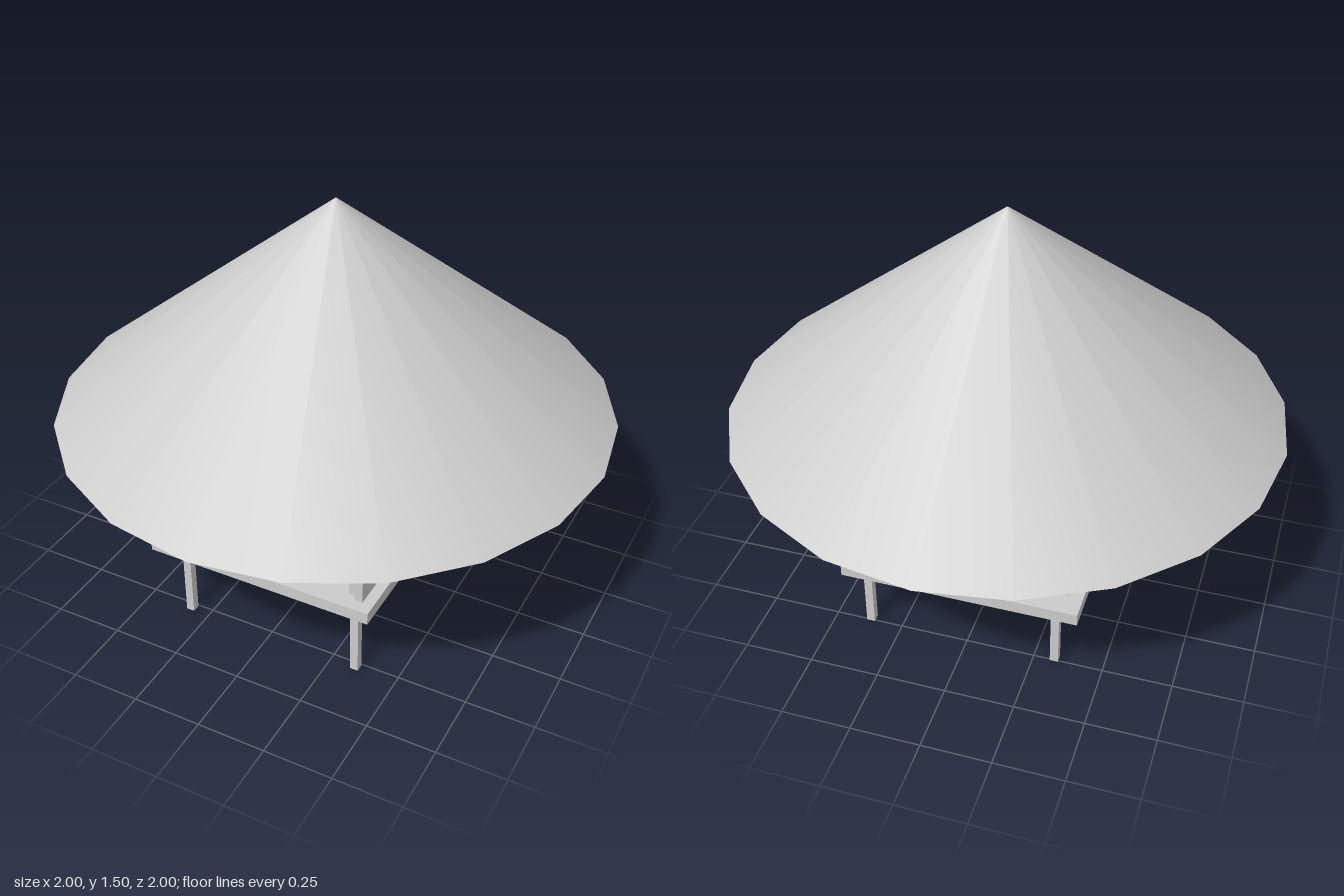
import * as THREE from 'three';

const material = new THREE.MeshStandardMaterial({ color: 0xcccccc });

export function createModel() {
  const hut = new THREE.Group();
  hut.name = 'stiltHut';

  const add = (parent, name, geometry, x, y, z) => {
    const mesh = new THREE.Mesh(geometry, material);
    mesh.name = name;
    mesh.position.set(x, y, z);
    parent.add(mesh);
    return mesh;
  };
  // Box from its centre in x and z, and its bottom and top heights
  const box = (parent, name, x, z, width, depth, bottom, top) =>
    add(parent, name, new THREE.BoxGeometry(width, top - bottom, depth), x, (bottom + top) / 2, z);
  const disc = (parent, name, x, z, radius, bottom, top) =>
    add(parent, name, new THREE.CylinderGeometry(radius, radius, top - bottom, 20), x, (bottom + top) / 2, z);

  const floorBottom = 0.295, floorTop = 0.34, wallTop = 0.61, ceilingTop = 0.68;

  // Conical thatch, closed underneath
  add(hut, 'roof', new THREE.ConeGeometry(1, 0.8, 20), 0, 1.1, 0);

  // Floor and ceiling slabs
  box(hut, 'floor', 0, 0, 0.85, 1.2, floorBottom, floorTop);
  box(hut, 'ceiling', 0, 0, 0.85, 1.2, wallTop, ceilingTop);

  // Stilts below the floor, slightly uneven
  const stilts = [[-0.325, 0.52], [0.345, 0.52], [-0.325, -0.49], [0.37, -0.49]];
  for (const [x, z] of stilts) box(hut, 'stilt', x, z, 0.03, 0.03, 0, floorBottom);

  // Posts between floor and ceiling
  const posts = [[-0.34, 0.52], [0.34, 0.52], [0.4, -0.48]];
  for (const [x, z] of posts) box(hut, 'post', x, z, 0.03, 0.03, floorTop, wallTop);

  // Walls on three sides, the front stays open
  box(hut, 'leftWall', 0.37, 0.02, 0.03, 1.07, floorTop, wallTop);
  box(hut, 'rightWall', -0.36, 0.02, 0.03, 1.07, floorTop, wallTop);
  box(hut, 'backWall', 0.005, -0.47, 0.7, 0.03, floorTop, wallTop);

  // Round table
  const table = new THREE.Group();
  table.name = 'table';
  disc(table, 'tableBase', 0.073, 0.28, 0.045, floorTop, 0.42);
  disc(table, 'tableTop', 0.073, 0.28, 0.087, 0.42, 0.445);
  hut.add(table);

  // Box furniture inside
  box(hut, 'cabinet', -0.19, -0.05, 0.105, 0.11, floorTop, 0.52);
  box(hut, 'cabinet', 0.065, -0.2, 0.105, 0.11, floorTop, 0.52);
  box(hut, 'stool', 0.225, 0.05, 0.105, 0.11, 0.345, 0.46);

  return hut;
}
